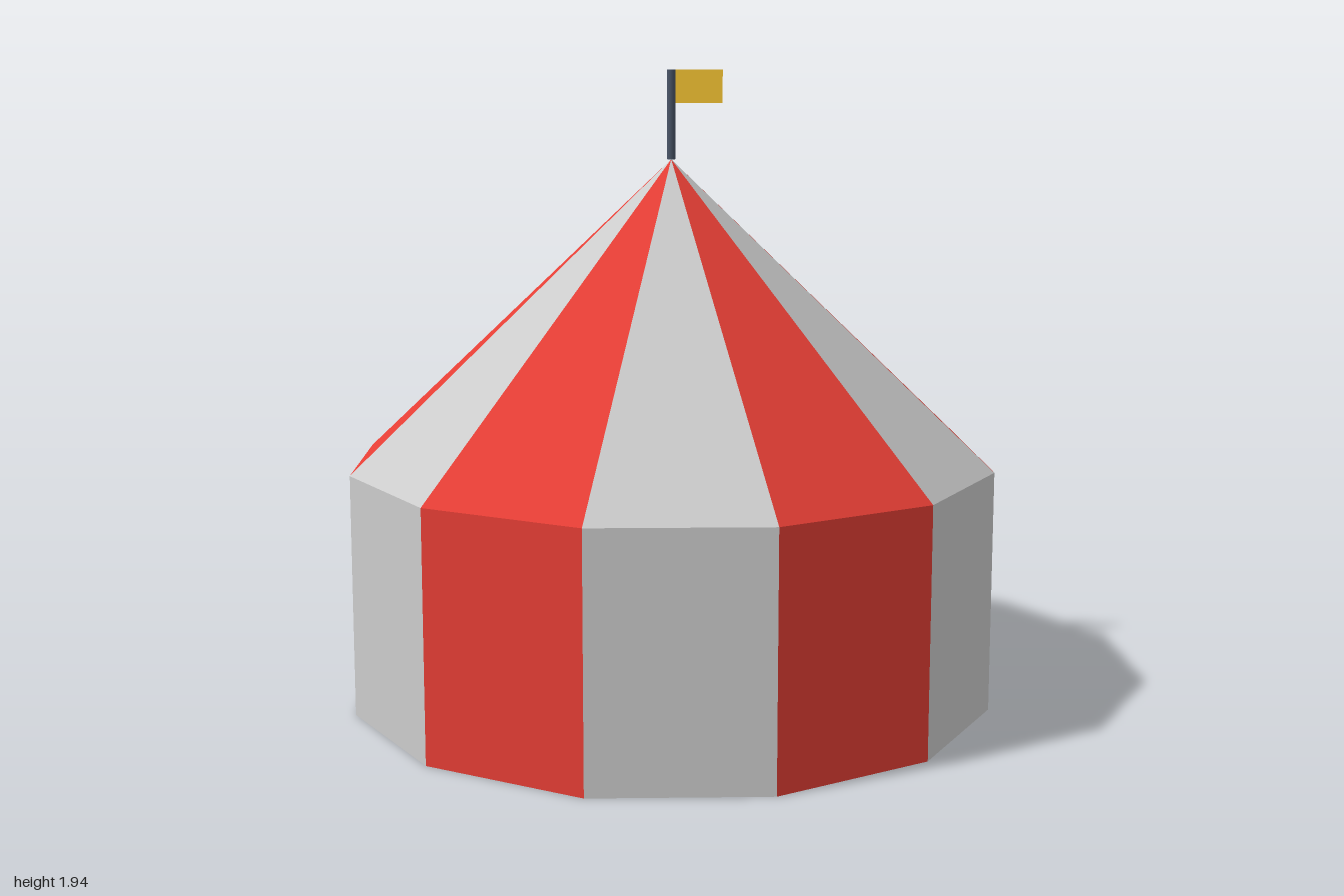
import * as THREE from 'three';

const PANELS = 12;
const RADIUS = 1;
const WALL_HEIGHT = 0.74;
const APEX = 1.67;
const POLE_TOP = 1.94;
const POLE_RADIUS = 0.013;

export function createModel() {
  const tent = new THREE.Group();
  tent.name = 'stripedTent';

  const cloth = (color) =>
    new THREE.MeshStandardMaterial({ color, flatShading: true, side: THREE.DoubleSide });
  const white = cloth(0xf3f4f6);
  const red = cloth(0xe53e35);
  const yellow = cloth(0xecbc30);
  const metal = new THREE.MeshStandardMaterial({ color: 0x4a5568 });

  const add = (parent, name, geometry, material, x, y) => {
    const mesh = new THREE.Mesh(geometry, material);
    mesh.name = name;
    mesh.position.set(x, y, 0);
    parent.add(mesh);
  };

  // Alternating cloth panels: one wall and one roof wedge per side, open below
  const walls = new THREE.Group();
  walls.name = 'walls';
  const roof = new THREE.Group();
  roof.name = 'roof';
  tent.add(walls, roof);

  const step = (Math.PI * 2) / PANELS;
  const roofHeight = APEX - WALL_HEIGHT;
  for (let i = 0; i < PANELS; i++) {
    const material = i % 2 ? red : white;
    add(walls, 'wallPanel',
      new THREE.CylinderGeometry(RADIUS, RADIUS, WALL_HEIGHT, 1, 1, true, i * step, step),
      material, 0, WALL_HEIGHT / 2);
    add(roof, 'roofPanel',
      new THREE.ConeGeometry(RADIUS, roofHeight, 1, 1, true, i * step, step),
      material, 0, WALL_HEIGHT + roofHeight / 2);
  }

  // Flagpole standing on the apex
  add(tent, 'flagpole',
    new THREE.CylinderGeometry(POLE_RADIUS, POLE_RADIUS, POLE_TOP - APEX, 8),
    metal, 0, (APEX + POLE_TOP) / 2);

  // Thin flag flying toward +x
  const flagWidth = 0.147, flagHeight = 0.1;
  add(tent, 'flag', new THREE.PlaneGeometry(flagWidth, flagHeight), yellow,
    POLE_RADIUS + flagWidth / 2, POLE_TOP - flagHeight / 2);

  return tent;
}
